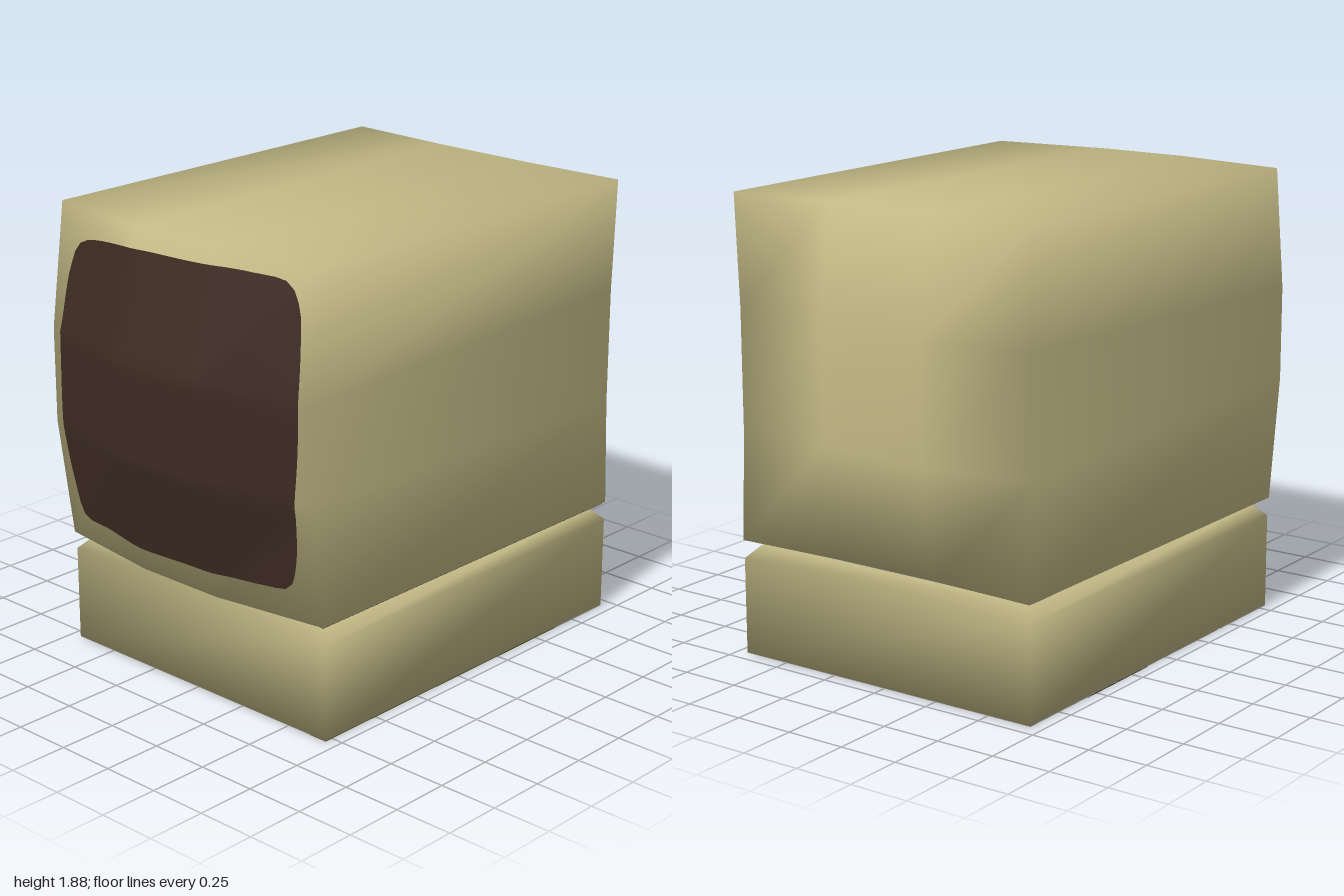
import * as THREE from 'three';
import { mergeVertices } from 'three/addons/utils/BufferGeometryUtils.js';

const material = (name, color) => {
  const m = new THREE.MeshStandardMaterial({ color });
  m.name = name;
  return m;
};

// Reshape a subdivided unit box by a rule, sharing vertices so it shades smoothly
function shapedBox(segments, rule) {
  const geo = new THREE.BoxGeometry(1, 1, 1, ...segments);
  geo.deleteAttribute('normal');
  geo.deleteAttribute('uv');
  const pos = geo.attributes.position;
  for (let i = 0; i < pos.count; i++) {
    pos.setXYZ(i, ...rule(pos.getX(i), pos.getY(i), pos.getZ(i)));
  }
  const merged = mergeVertices(geo, 1e-4);
  merged.computeVertexNormals();
  return merged;
}

export function createModel() {
  const model = new THREE.Group();
  const casing = material('khaki casing', 0xc4ba86);
  const glass = material('dark brown glass', 0x3c2b22);
  const pale = material('pale grey', 0xb8b8b8);
  const olive = material('olive', 0x5a5218);
  const brown = material('brown', 0x6a5044);

  const add = (name, geo, mat, parent = model) => {
    const mesh = new THREE.Mesh(geo, mat);
    mesh.name = name;
    parent.add(mesh);
    return mesh;
  };

  // Monitor: a box with bulging front and back
  const monitor = add('monitorCasing', shapedBox([3, 3, 1], (x, y, z) => {
    const front = z > 0;
    const edgeX = Math.abs(x) > 0.4, edgeY = Math.abs(y) > 0.4;
    const edges = Number(edgeX) + Number(edgeY);
    const px = Math.sign(x) * (edgeX ? 0.7 : front ? 0.2 : 0.24);
    const py = 1.183 + Math.sign(y) * (edgeY ? 0.702 : front ? 0.195 : 0.24);
    return [px, py, (front ? [1, 0.87, 0.80] : [-1, -0.93, -0.95])[edges]];
  }), casing);

  // Screen: uneven rounded outline laid over the bulging front
  const outline = new THREE.CatmullRomCurve3([
    [-0.55, 1.75], [-0.25, 1.8], [0.1, 1.815], [0.4, 1.825], [0.58, 1.81], [0.625, 1.74],
    [0.645, 1.6], [0.655, 1.25], [0.635, 0.95], [0.61, 0.73], [0.565, 0.62], [0.45, 0.6],
    [0.1, 0.592], [-0.2, 0.582], [-0.4, 0.6], [-0.56, 0.61], [-0.61, 0.75], [-0.64, 1.0],
    [-0.64, 1.25], [-0.63, 1.5], [-0.6, 1.66],
  ].map(([x, y]) => new THREE.Vector3(x, y, 0)), true, 'centripetal').getSpacedPoints(96);
  const rings = 24, sides = 96, verts = [], faces = [];
  const ray = new THREE.Raycaster();
  const back = new THREE.Vector3(0, 0, -1);
  for (let r = 0; r <= rings; r++) {
    for (let i = 0; i < sides; i++) {
      const x = outline[i].x * r / rings;
      const y = 1.19 + (outline[i].y - 1.19) * r / rings;
      ray.set(new THREE.Vector3(x, y, 2), back);
      const hit = ray.intersectObject(monitor)[0];
      verts.push(x, y, (hit ? hit.point.z : 0.9) + 0.005);
      if (r === rings) continue;
      const j = (i + 1) % sides, a = r * sides, b = a + sides;
      faces.push(a + i, b + j, b + i);
      if (r > 0) faces.push(a + i, a + j, b + j);
    }
  }
  const screen = new THREE.BufferGeometry();
  screen.setAttribute('position', new THREE.Float32BufferAttribute(verts, 3));
  screen.setIndex(faces);
  screen.computeVertexNormals();
  add('screen', screen, glass);

  // Base unit with bevelled top edges
  add('baseUnit', shapedBox([1, 2, 1], (x, y, z) => {
    const inset = y > 0.4 ? 0.05 : 0;
    const py = y > 0.4 ? 0.457 : y < -0.4 ? 0.006 : 0.405;
    return [Math.sign(x) * (0.7 - inset), py, -0.078 + Math.sign(z) * (0.868 - inset)];
  }), casing);

  // Thin plates under the base and the monitor
  const plate = (name, mat, x0, x1, z0, z1, y, parent) => {
    const mesh = add(name, new THREE.BoxGeometry(x1 - x0, 0.004, z1 - z0), mat, parent);
    mesh.position.set((x0 + x1) / 2, y, (z0 + z1) / 2);
  };
  const underside = new THREE.Group();
  underside.name = 'undersideDetails';
  model.add(underside);
  plate('backPanel', pale, -0.7, 0.7, -0.945, -0.63, 0.005, underside);
  plate('sidePanel', pale, -0.7, -0.57, -0.63, 0.4, 0.005, underside);
  plate('frontPanel', pale, -0.7, 0.62, 0.42, 0.789, 0.005, underside);
  plate('leftStrip', olive, 0.62, 0.7, -0.63, 0.789, 0.005, underside);
  plate('darkPanel', glass, -0.7, -0.04, -0.56, -0.14, 0.003, underside);
  plate('monitorSideStrip', glass, 0.6, 0.699, -0.93, 0.8, 0.481, underside);
  plate('monitorBackStrip', pale, -0.699, 0.5, -0.93, -0.8, 0.481, underside);

  // Small patches: material, centre x and z, radii
  [[brown, 0.24, 0.62, 0.3, 0.12], [casing, -0.38, 0.62, 0.13, 0.11],
    [brown, -0.57, 0.64, 0.07, 0.11], [glass, -0.02, 0.12, 0.03, 0.05],
    [glass, -0.04, 0, 0.02, 0.04], [glass, 0.2, -0.28, 0.015, 0.015],
  ].forEach(([mat, x, z, rx, rz], i) => {
    const patch = add(`undersidePatch${i + 1}`, new THREE.CircleGeometry(1, 20), mat, underside);
    patch.rotation.x = Math.PI / 2;
    patch.scale.set(rx, rz, 1);
    patch.position.set(x, 0.001, z);
  });
  return model;
}
